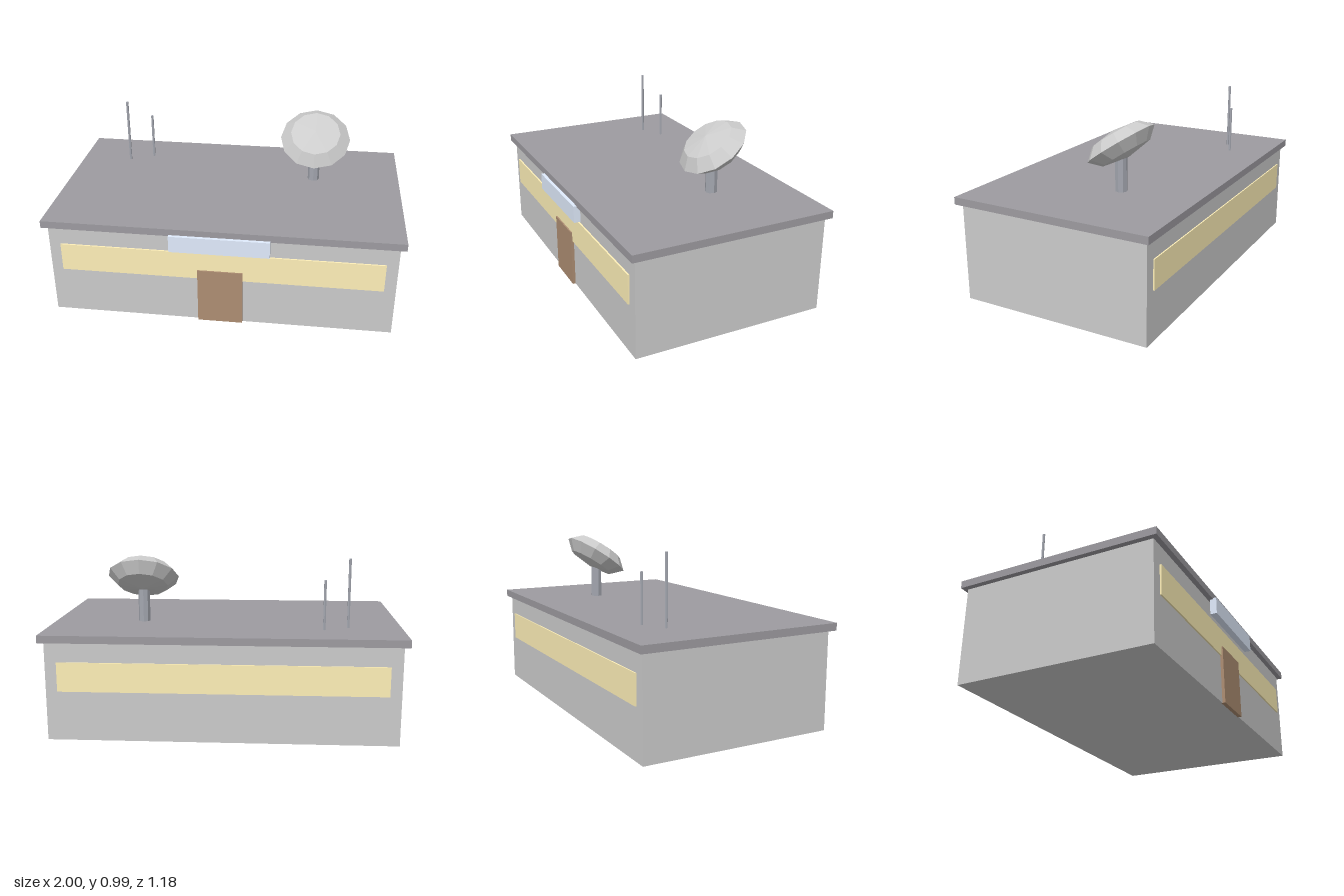
import * as THREE from 'three';

export function createModel() {
  const model = new THREE.Group();
  const mat = (color) => new THREE.MeshStandardMaterial({ color, flatShading: true });
  const wall = mat(0xcccccc), roofing = mat(0x9d9ba0), glass = mat(0xfff0b8);
  const wood = mat(0xad8d72), panel = mat(0xe0ebfc), metal = mat(0xa4a7b0);

  const add = (name, geometry, material, x, y, z) => {
    const mesh = new THREE.Mesh(geometry, material);
    mesh.name = name;
    mesh.position.set(x, y, z);
    model.add(mesh);
    return mesh;
  };
  // Box from its extents in y and z, centred on x = 0
  const box = (name, material, width, y0, y1, z0, z1) =>
    add(name, new THREE.BoxGeometry(width, y1 - y0, z1 - z0), material, 0, (y0 + y1) / 2, (z0 + z1) / 2);
  // Upright post standing on the roof
  const post = (name, material, radius, sides, x, z, top) =>
    add(name, new THREE.CylinderGeometry(radius, radius, top - 0.598, sides), material, x, (top + 0.598) / 2, z);

  // Building
  box('walls', wall, 1.94, 0, 0.556, -0.566, 0.546);
  box('roof', roofing, 2, 0.556, 0.598, -0.591, 0.575);
  box('frontWindow', glass, 1.81, 0.28, 0.445, 0.54, 0.555);
  box('backWindow', glass, 1.81, 0.28, 0.445, -0.573, -0.56);
  box('door', wood, 0.254, 0, 0.335, 0.54, 0.563);
  box('signPanel', panel, 0.556, 0.466, 0.563, 0.556, 0.594);

  // Dish: a flattened faceted ball tilted toward the front
  post('dishPole', metal, 0.034, 8, 0.483, -0.149, 0.84);
  const dish = add('dish', new THREE.SphereGeometry(0.206, 12, 4), wall, 0.483, 0.862, -0.149);
  dish.scale.y = 0.4;
  dish.rotation.x = 0.6;

  // Antennas
  post('tallAntenna', metal, 0.008, 6, -0.698, -0.288, 0.988);
  post('shortAntenna', metal, 0.008, 6, -0.559, -0.357, 0.877);

  return model;
}
